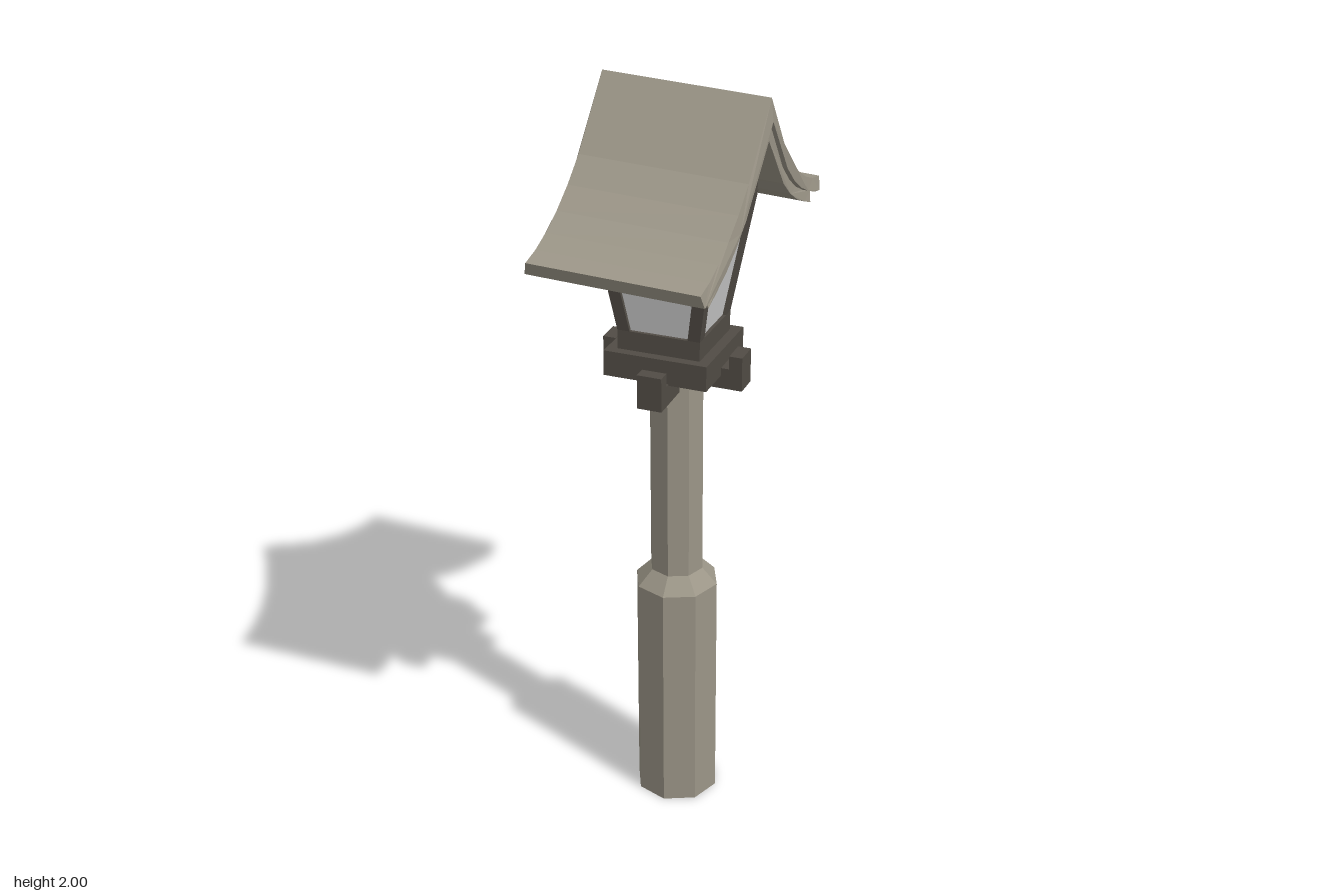
import * as THREE from 'three';

const stone = new THREE.MeshStandardMaterial({ color: 0x9b9587 });
stone.name = 'weatheredStone';
const darkWood = new THREE.MeshStandardMaterial({ color: 0x514c45 });
darkWood.name = 'darkWood';
const paper = new THREE.MeshStandardMaterial({ color: 0xcbcbcb });
paper.name = 'lanternPane';
for (const m of [stone, darkWood, paper]) m.flatShading = true;

function add(parent, name, geometry, material, x = 0, y = 0, z = 0) {
  const mesh = new THREE.Mesh(geometry, material);
  mesh.name = name;
  mesh.position.set(x, y, z);
  parent.add(mesh);
  return mesh;
}

// Moves every vertex of a geometry by a rule
function warp(geometry, rule) {
  const pos = geometry.attributes.position;
  const v = new THREE.Vector3();
  for (let i = 0; i < pos.count; i++) {
    rule(v.fromBufferAttribute(pos, i));
    pos.setXYZ(i, v.x, v.y, v.z);
  }
  geometry.computeVertexNormals();
  return geometry;
}

// Half profile of the roof: distance from the ridge, height below it
const sweep = [[0, 0], [0.13, -0.168], [0.19, -0.224], [0.25, -0.268], [0.31, -0.301], [0.365, -0.323], [0.418, -0.335]];

function roofHeight(z) {
  const d = Math.abs(z);
  let i = 1;
  while (i < sweep.length - 1 && d > sweep[i][0]) i++;
  const [a, b] = [sweep[i - 1], sweep[i]];
  return a[1] + (b[1] - a[1]) * (d - a[0]) / (b[0] - a[0]);
}

// One curved roof layer, from depth "top" to depth "bottom" below the roof line
function roofLayer(top, bottom, reach, halfLength) {
  const line = sweep.map(([d]) => d).filter((d) => d < reach - 0.01).concat(reach);
  // vertical depth is larger where the roof is steep
  const drop = (d, t) => roofHeight(d) - t * (1 + 0.6 * Math.max(0, 1 - d / 0.3));
  const side = (t, inset, s) => line.map((d, i) => {
    const e = i === line.length - 1 ? d - inset : d;
    return new THREE.Vector2(s * e, drop(e, t));
  });
  const outline = [
    ...side(top, 0, 1),
    ...side(bottom, 0.012, 1).reverse(),
    ...side(bottom, 0.012, -1).slice(1),
    ...side(top, 0, -1).reverse().slice(0, -1),
  ];
  const geo = new THREE.ExtrudeGeometry(new THREE.Shape(outline), { depth: halfLength * 2, bevelEnabled: false });
  geo.translate(0, 0, -halfLength);
  geo.rotateY(Math.PI / 2);
  // slightly undercut gable ends and uneven eaves
  return warp(geo, (v) => {
    const depth = roofHeight(v.z) - v.y - top;
    v.x += Math.sign(v.x) * Math.min(Math.max(depth, 0), 0.03) * 0.25;
    v.z *= 1 - 0.035 * v.x;
  });
}

export function createModel() {
  const model = new THREE.Group();
  model.name = 'lanternPost';

  // Octagonal post: thick foot, chamfer, slim shaft
  const post = new THREE.Group();
  post.name = 'post';
  post.position.set(-0.012, 0, 0.012);
  post.rotation.y = 0.04;
  model.add(post);
  add(post, 'postFoot', new THREE.CylinderGeometry(0.111, 0.111, 0.645, 8), stone, 0, 0.3225, 0);
  add(post, 'postChamfer', new THREE.CylinderGeometry(0.071, 0.111, 0.042, 8, 1, true), stone, 0, 0.666, 0);
  add(post, 'postShaft', new THREE.CylinderGeometry(0.071, 0.071, 0.565, 8), stone, 0, 0.9675, 0);

  // Crossed bracket beams with upturned ends
  [[1.262, 0], [1.248, Math.PI / 2]].forEach(([y, turn], i) => {
    const beam = new THREE.Group();
    beam.name = i ? 'lengthBeam' : 'crossBeam';
    beam.position.set(-0.013, y, 0.008);
    beam.rotation.y = turn;
    model.add(beam);
    add(beam, 'beamBar', new THREE.BoxGeometry(0.37, 0.055, 0.064), darkWood);
    for (const s of [-1, 1]) {
      add(beam, 'beamEnd', new THREE.BoxGeometry(0.034, 0.036, 0.064), darkWood, s * 0.168, 0.0445, 0);
    }
  });

  // Lantern box
  const lantern = new THREE.Group();
  lantern.name = 'lantern';
  lantern.position.set(-0.018, 1.335, 0.011);
  lantern.rotation.x = -0.02;
  model.add(lantern);
  add(lantern, 'basePlate', new THREE.BoxGeometry(0.27, 0.066, 0.266), darkWood, 0, -0.033, 0);
  add(lantern, 'bottomRail', new THREE.BoxGeometry(0.216, 0.05, 0.216), darkWood, 0, 0.025, 0);

  // Four posts leaning outwards
  const lean = 0.16;
  for (const sx of [-1, 1]) {
    for (const sz of [-1, 1]) {
      const geo = new THREE.BoxGeometry(0.032, 0.31, 0.032);
      geo.translate(sx * 0.092, 0.205, sz * 0.092);
      warp(geo, (v) => {
        v.x += sx * lean * (v.y - 0.05);
        v.z += sz * lean * (v.y - 0.05);
      });
      add(lantern, 'cornerPost', geo, darkWood);
    }
  }

  // Tapered panes, set a little behind the posts
  const panes = new THREE.CylinderGeometry(0.147 * Math.SQRT2, 0.099 * Math.SQRT2, 0.3, 4, 1, true, Math.PI / 4);
  add(lantern, 'panes', panes, paper, 0, 0.2, 0);
  add(lantern, 'topRail', new THREE.BoxGeometry(0.312, 0.035, 0.312), darkWood, 0, 0.37, 0);

  // Gable block filling the space under the roof
  const gable = new THREE.Shape([[-0.13, 0], [0.13, 0], [0, 0.135]].map(([x, y]) => new THREE.Vector2(x, y)));
  const gableGeo = new THREE.ExtrudeGeometry(gable, { depth: 0.28, bevelEnabled: false });
  gableGeo.translate(0, 0, -0.14);
  gableGeo.rotateY(Math.PI / 2);
  add(lantern, 'gable', gableGeo, darkWood, 0, 0.37, 0);

  // Two-layer swept roof, sitting slightly askew
  const roof = new THREE.Group();
  roof.name = 'roof';
  roof.position.set(0.008, 1.991, 0);
  roof.rotation.set(0, -0.012, -0.04);
  model.add(roof);
  add(roof, 'roofCover', roofLayer(0, 0.036, 0.418, 0.214), stone);
  add(roof, 'roofLining', roofLayer(0.036, 0.066, 0.372, 0.206), stone);

  return model;
}
